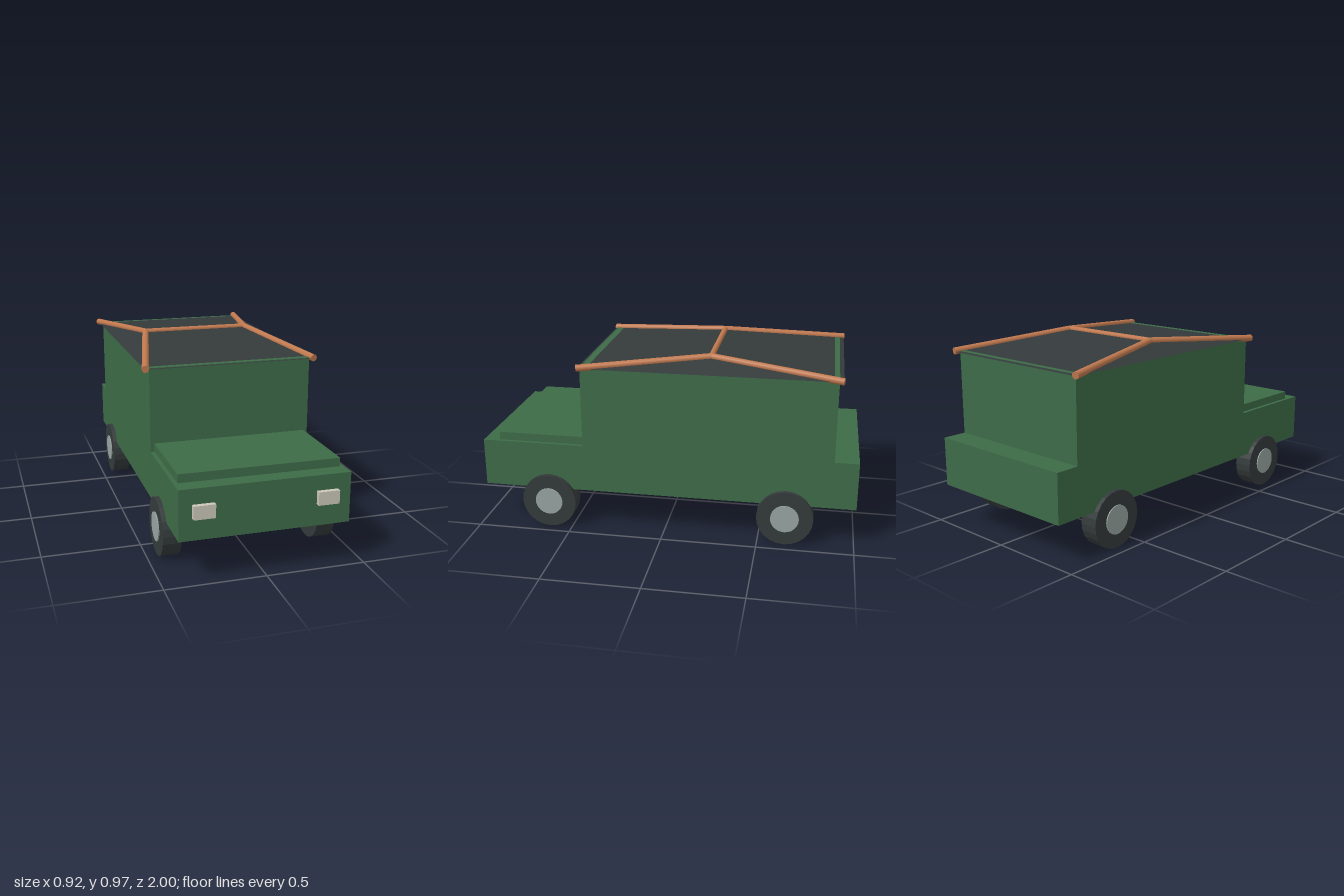
import * as THREE from 'three';

const material = (name, color, extra = {}) => {
  const m = new THREE.MeshStandardMaterial({ color, ...extra });
  m.name = name;
  return m;
};

export function createModel() {
  const green = material('green paint', 0x3d6b47);
  const dark = material('dark rubber and canvas', 0x343a3b, { flatShading: true, side: THREE.DoubleSide });
  const copper = material('copper rod', 0xbf784e);
  const grey = material('hub grey', 0x97a3a1, { flatShading: true });
  const cream = material('lamp cream', 0xcac5b7);

  const model = new THREE.Group();
  model.name = 'truck';
  const add = (name, geometry, mat, x = 0, y = 0, z = 0, parent = model) => {
    const mesh = new THREE.Mesh(geometry, mat);
    mesh.name = name;
    mesh.position.set(x, y, z);
    parent.add(mesh);
    return mesh;
  };

  // Body: one side profile (z, y) extruded across the width
  const profile = new THREE.Shape([
    [-1, 0.215], [0.975, 0.215], [0.975, 0.468], [0.43, 0.468],
    [0.43, 0.9], [-0.875, 0.9], [-0.875, 0.468], [-1, 0.468],
  ].map(([z, y]) => new THREE.Vector2(-z, y)));
  const body = new THREE.ExtrudeGeometry(profile, { depth: 0.844, bevelEnabled: false });
  body.translate(0, 0, -0.422).rotateY(Math.PI / 2);
  add('body', body, green);

  // Bonnet panel and headlights
  add('bonnet', new THREE.BoxGeometry(0.804, 0.044, 0.46), green, 0, 0.489, 0.66);
  for (const s of [1, -1]) {
    add('headlight', new THREE.BoxGeometry(0.106, 0.067, 0.03), cream, s * 0.304, 0.358, 0.985);
  }

  // Wheels with hubs standing slightly proud on both faces
  for (const s of [1, -1]) {
    for (const z of [0.62, -0.64]) {
      const wheel = new THREE.Group();
      wheel.name = 'wheel';
      wheel.position.set(s * 0.398, 0.147, z);
      const tyre = new THREE.CylinderGeometry(0.147, 0.147, 0.094, 24).rotateZ(Math.PI / 2);
      const hub = new THREE.CylinderGeometry(0.074, 0.074, 0.106, 24).rotateZ(Math.PI / 2);
      add('tyre', tyre, dark, 0, 0, 0, wheel);
      add('hub', hub, grey, 0, 0, 0, wheel);
      model.add(wheel);
    }
  }

  // Canopy: hipped sheet with four eave corners and a short cross ridge
  const eave = 0.896, front = 0.443, back = -0.897, ridgeZ = -0.23;
  const canopy = new THREE.BufferGeometry();
  canopy.setAttribute('position', new THREE.Float32BufferAttribute([
    -0.445, eave, front, 0.445, eave, front,
    0.445, eave, back, -0.445, eave, back,
    -0.292, 0.951, ridgeZ, 0.292, 0.951, ridgeZ,
  ], 3));
  canopy.setIndex([
    0, 1, 5, 0, 5, 4, // front slope
    2, 3, 4, 2, 4, 5, // rear slope
    1, 2, 5, 3, 0, 4, // sides
    0, 3, 2, 0, 2, 1, // underside
  ]);
  canopy.computeVertexNormals();
  add('canopy', canopy, dark);

  // Copper frame: four arms running from the corners to the ridge rod
  const rod = (name, a, b, r) => {
    const dir = b.clone().sub(a);
    const mesh = add(name, new THREE.CylinderGeometry(r, r, dir.length(), 16), copper);
    mesh.position.copy(a).addScaledVector(dir, 0.5);
    mesh.quaternion.setFromUnitVectors(new THREE.Vector3(0, 1, 0), dir.normalize());
  };
  for (const s of [1, -1]) {
    for (const z of [front, back]) {
      rod('canopyArm', new THREE.Vector3(s * 0.443, 0.899, z),
        new THREE.Vector3(s * 0.292, 0.951, ridgeZ), 0.018);
    }
  }
  rod('ridgeRod', new THREE.Vector3(-0.292, 0.953, ridgeZ), new THREE.Vector3(0.292, 0.953, ridgeZ), 0.015);

  return model;
}
